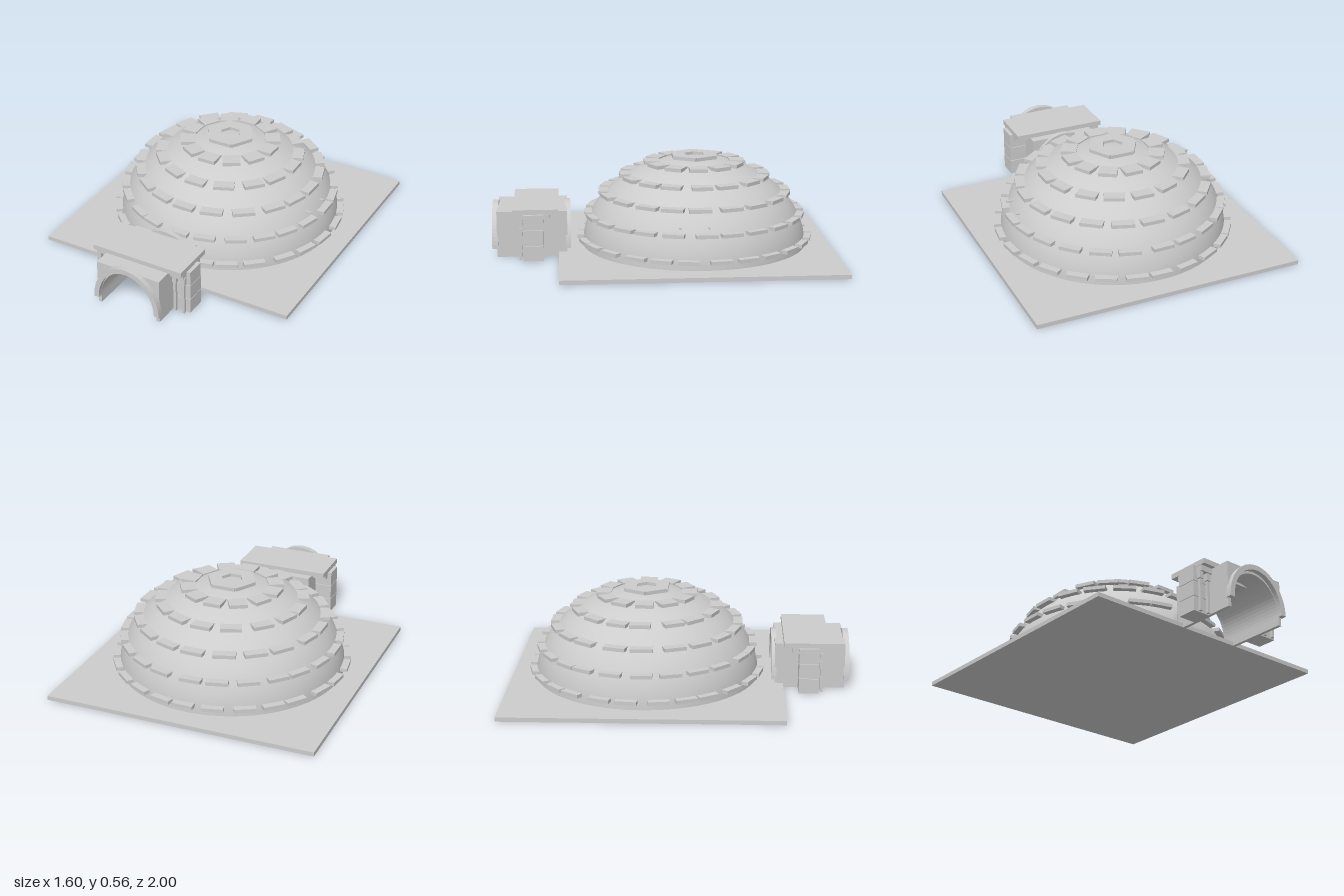
import * as THREE from 'three';

export function createModel() {
  const root = new THREE.Group();
  const grey = new THREE.MeshStandardMaterial({ color: 0xcccccc, side: THREE.DoubleSide });
  grey.name = 'snow grey';

  const add = (name, geo, x = 0, y = 0, z = 0, parent = root) => {
    const m = new THREE.Mesh(geo, grey);
    m.name = name;
    m.position.set(x, y, z);
    parent.add(m);
    return m;
  };
  // box given by its limits on each axis
  const box = (name, x0, x1, y0, y1, z0, z1, parent) =>
    add(name, new THREE.BoxGeometry(x1 - x0, y1 - y0, z1 - z0),
      (x0 + x1) / 2, (y0 + y1) / 2, (z0 + z1) / 2, parent);

  let seed = 7;
  const rand = () => (seed = (seed * 16807) % 2147483647) / 2147483647;

  // ground slab
  box('ground', -0.8, 0.8, 0, 0.025, -1, 0.61);

  // smooth dome
  const dome = new THREE.Group();
  dome.name = 'dome';
  dome.position.z = -0.2;
  root.add(dome);
  const profile = [];
  for (let i = 0; i <= 24; i++) {
    const a = (i / 24) * Math.PI / 2;
    profile.push(new THREE.Vector2(Math.max(0.667 * Math.cos(a), 0.0001), 0.015 + 0.53 * Math.sin(a)));
  }
  add('domeShell', new THREE.LatheGeometry(profile, 64), 0, 0, 0, dome);

  // rings of flat bricks: outer radius, depth, height, count, brick length
  const rings = [
    [0.70, 0.06, 0.075, 26, 0.125],
    [0.655, 0.06, 0.215, 24, 0.125],
    [0.57, 0.065, 0.34, 20, 0.13],
    [0.445, 0.07, 0.44, 16, 0.12],
    [0.298, 0.09, 0.515, 12, 0.105],
    [0.13, 0.075, 0.55, 6, 0.14],
  ];
  rings.forEach(([outer, depth, y, count, length], r) => {
    const ring = new THREE.Group();
    ring.name = 'brickRing' + (r + 1);
    dome.add(ring);
    const jitter = r < 4 ? 0.25 : 0;
    for (let i = 0; i < count; i++) {
      const a = ((i + (rand() - 0.5) * jitter) / count) * Math.PI * 2;
      const mid = outer - depth / 2;
      const brick = add('brick', new THREE.BoxGeometry(length, 0.021, depth),
        Math.sin(a) * mid, y, Math.cos(a) * mid, ring);
      brick.rotation.y = a;
    }
  });
  // small pegs on the dome's left flank
  for (const z of [-0.03, 0.13]) box('peg', 0.56, 0.615, 0.25, 0.258, z - 0.006, z + 0.006, dome);

  // entrance tunnel, open from end to end
  const entrance = new THREE.Group();
  entrance.name = 'entrance';
  root.add(entrance);

  // arched band: half-ellipse legs from y0 up to the crown
  const archPath = (path, w, y0, top) => {
    path.moveTo(w, y0);
    for (let i = 1; i <= 32; i++) {
      const a = (i / 32) * Math.PI;
      path.lineTo(w * Math.cos(a), y0 + (top - y0) * Math.sin(a));
    }
    return path;
  };
  const extrude = (shape, depth) => new THREE.ExtrudeGeometry(shape, { depth, bevelEnabled: false });

  // tunnel body with square outside and arched opening
  const body = new THREE.Shape();
  body.moveTo(-0.2, 0);
  body.lineTo(-0.2, 0.27);
  body.lineTo(0.2, 0.27);
  body.lineTo(0.2, 0);
  body.lineTo(0.18, 0);
  for (let i = 0; i <= 32; i++) {
    const a = (i / 32) * Math.PI;
    body.lineTo(0.18 * Math.cos(a), 0.05 + 0.2 * Math.sin(a));
  }
  body.lineTo(-0.18, 0);
  add('tunnelBody', extrude(body, 0.41), 0, 0, 0.56, entrance);

  // arch trims on both ends
  const trim = archPath(new THREE.Shape(), 0.21, 0.05, 0.295);
  for (let i = 32; i >= 0; i--) {
    const a = (i / 32) * Math.PI;
    trim.lineTo(0.18 * Math.cos(a), 0.05 + 0.215 * Math.sin(a));
  }
  add('frontArch', extrude(trim, 0.035), 0, 0, 0.963, entrance);
  add('backArch', extrude(trim, 0.03), 0, 0, 0.54, entrance);

  // roof slab and the beam beneath it
  box('roof', -0.283, 0.283, 0.268, 0.298, 0.61, 0.875, entrance);
  box('roofBeam', -0.28, 0.28, 0.235, 0.268, 0.66, 0.85, entrance);

  // stacked side blocks and thin posts
  for (const s of [-1, 1]) {
    const side = new THREE.Group();
    side.name = s > 0 ? 'leftPier' : 'rightPier';
    entrance.add(side);
    for (let i = 0; i < 3; i++) {
      const h = 0.088;
      add('pierBlock', new THREE.BoxGeometry(0.105, h, 0.115), s * 0.2525, h / 2 + i * 0.091, 0.755, side);
    }
    for (const x of [0.218, 0.272]) {
      add('post', new THREE.BoxGeometry(0.016, 0.19, 0.016), s * x, 0.095, 0.83, side);
      add('postCap', new THREE.BoxGeometry(0.026, 0.045, 0.024), s * x, 0.215, 0.83, side);
    }
  }
  return root;
}
